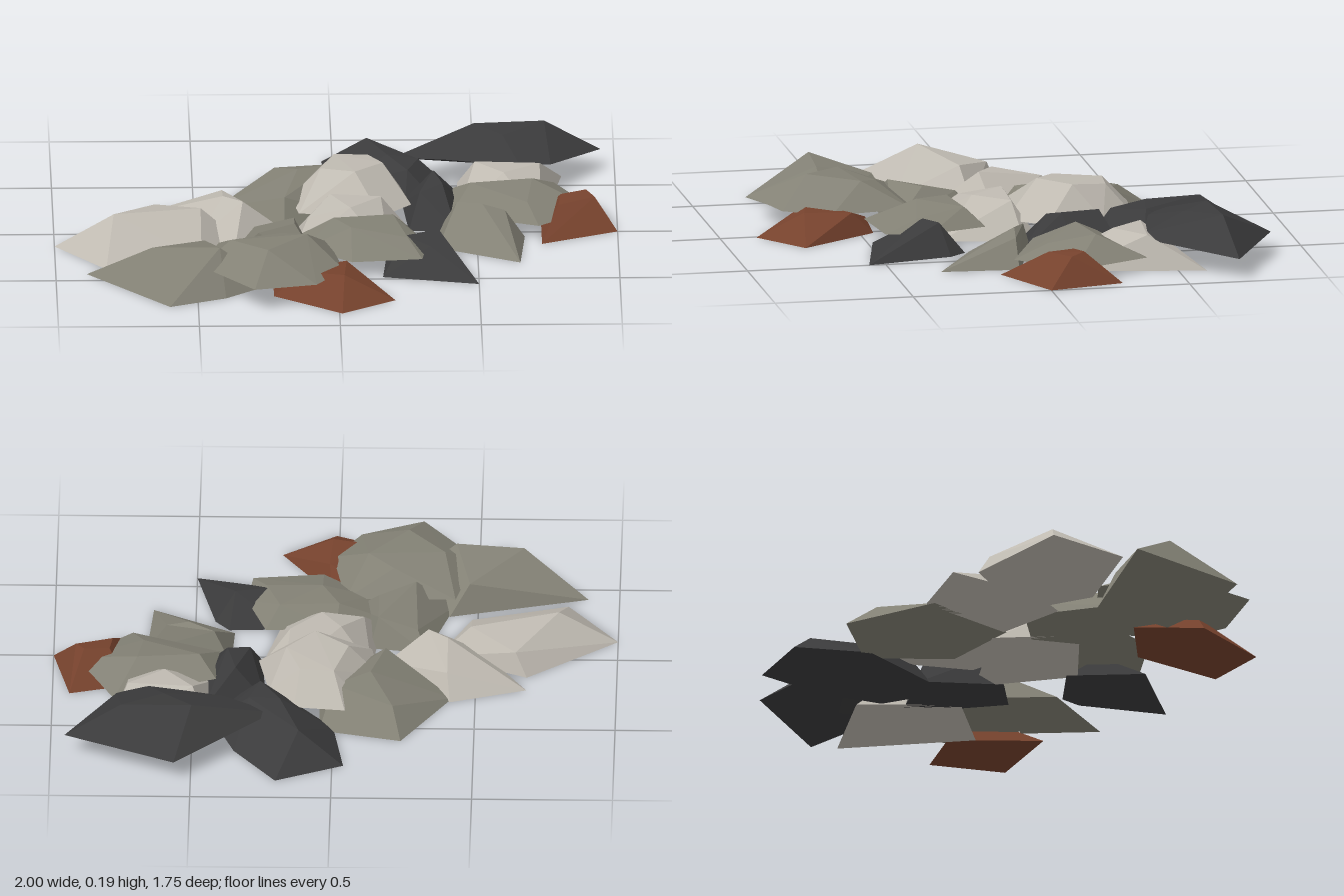
import * as THREE from 'three';
import { ConvexGeometry } from 'three/addons/geometries/ConvexGeometry.js';

const stone = (color) => new THREE.MeshStandardMaterial({ color, flatShading: true });

export function createModel() {
  const pile = new THREE.Group();
  pile.name = 'rubblePile';

  const light = stone(0xbfbab1); light.name = 'pale stone';
  const gray = stone(0x838175); gray.name = 'gray stone';
  const dark = stone(0x3b3b3c); dark.name = 'charcoal stone';
  const brown = stone(0x76422d); brown.name = 'brown stone';

  // One faceted rock: rim points [x, z, optional y] lie at height y, crown points are [x, z, height]
  function rock(name, material, y, rim, crown) {
    const points = [...rim, ...crown].map(([x, z, h = y]) => new THREE.Vector3(x, h, z));
    const mesh = new THREE.Mesh(new ConvexGeometry(points), material);
    mesh.name = name;
    pile.add(mesh);
  }

  // Rocks resting on the ground
  rock('leftSlab', light, 0,
    [[-1, 0.13], [-0.68, -0.13], [-0.36, 0.02], [-0.48, 0.28], [-0.82, 0.38]],
    [[-0.79, 0.13, 0.12], [-0.48, 0.04, 0.11], [-0.64, -0.09, 0.08]]);
  rock('leftInnerRock', light, 0,
    [[-0.68, -0.22], [-0.41, -0.31], [-0.18, -0.03], [-0.36, 0.16], [-0.5, 0.08]],
    [[-0.4, -0.06, 0.12], [-0.33, 0, 0.12], [-0.4, -0.24, 0.08]]);
  rock('backLeftRock', gray, 0,
    [[-0.24, -0.59], [0.05, -0.52], [0.05, -0.2], [-0.18, -0.02], [-0.42, -0.28]],
    [[-0.13, -0.32, 0.13], [-0.21, -0.48, 0.08], [-0.18, -0.1, 0.1], [0, -0.4, 0.12]]);
  rock('backCharcoalRock', dark, 0,
    [[-0.04, -0.77], [0.2, -0.88], [0.35, -0.67], [0.43, -0.45], [0.37, -0.31], [0.25, -0.28], [0, -0.5]],
    [[0.12, -0.71, 0.11], [0.19, -0.5, 0.12], [0.26, -0.36, 0.11], [0.3, -0.48, 0.11]]);
  rock('middleCharcoalRock', dark, 0,
    [[0.24, -0.32], [0.46, -0.37], [0.47, -0.2], [0.43, 0], [0.26, -0.02]],
    [[0.35, -0.3, 0.13], [0.38, -0.16, 0.13], [0.3, -0.12, 0.11]]);
  rock('backRightRock', light, 0,
    [[0.44, -0.54], [0.81, -0.6], [0.73, -0.11], [0.43, -0.17]],
    [[0.5, -0.42, 0.12], [0.73, -0.4, 0.12], [0.6, -0.3, 0.12]]);
  rock('frontRightRock', gray, 0,
    [[0.37, -0.05], [0.67, 0.05], [0.65, 0.33], [0.36, 0.17]],
    [[0.43, -0.01, 0.11], [0.52, 0.04, 0.12], [0.6, 0.05, 0.1]]);
  rock('frontCharcoalRock', dark, 0,
    [[0.16, 0.48], [0.18, 0.2], [0.38, 0.19], [0.43, 0.25], [0.5, 0.56]],
    [[0.36, 0.28, 0.11], [0.24, 0.32, 0.1], [0.33, 0.38, 0.08]]);
  rock('centreRock', light, 0,
    [[-0.13, -0.07], [0.18, -0.11], [0.26, -0.05], [0.19, 0.24], [-0.16, 0.24]],
    [[-0.02, -0.02, 0.14], [0.16, -0.02, 0.13], [0.05, 0.1, 0.13], [-0.1, 0.12, 0.1]]);
  rock('midLeftRock', gray, 0,
    [[-0.32, 0.04], [-0.12, 0.07], [-0.06, 0.36], [-0.42, 0.38]],
    [[-0.15, 0.24, 0.12], [-0.28, 0.34, 0.12], [-0.29, 0.1, 0.06], [-0.15, 0.12, 0.1]]);
  rock('frontLeftSlab', gray, 0,
    [[-0.89, 0.43], [-0.4, 0.3], [-0.23, 0.55], [-0.4, 0.7], [-0.6, 0.79]],
    [[-0.66, 0.55, 0.14], [-0.42, 0.57, 0.145], [-0.47, 0.36, 0.1]]);
  rock('rightBrownRock', brown, 0,
    [[0.94, -0.27], [1, 0], [0.73, 0.13], [0.73, -0.21]],
    [[0.89, -0.14, 0.11], [0.79, -0.03, 0.09], [0.92, -0.09, 0.1], [0.8, -0.12, 0.1]]);
  rock('frontBrownRock', brown, 0,
    [[0.02, 0.45], [0.2, 0.73], [0.01, 0.87], [-0.23, 0.68], [-0.23, 0.43]],
    [[0.02, 0.7, 0.085], [-0.13, 0.66, 0.085], [0.03, 0.53, 0.08]]);

  // Rocks lying on top
  rock('topCentreRock', light, 0.06,
    [[-0.04, -0.48], [0.14, -0.46], [0.23, -0.34], [0.27, -0.13], [0.16, 0], [-0.13, -0.04], [-0.16, -0.22], [-0.09, -0.4]],
    [[0, -0.38, 0.165], [0.12, -0.37, 0.165], [-0.05, -0.21, 0.17], [0.17, -0.24, 0.18], [0.07, -0.13, 0.185]]);
  rock('topCharcoalSlab', dark, 0.07,
    [[0.21, -0.55, 0.09], [0.56, -0.88], [0.95, -0.69], [0.77, -0.44, 0.1], [0.66, -0.4, 0.11], [0.39, -0.47, 0.11], [0.62, -0.6, 0.05]],
    [[0.5, -0.66, 0.18], [0.75, -0.67, 0.185], [0.6, -0.56, 0.17]]);
  rock('topRightRock', gray, 0.05,
    [[0.42, -0.28, 0.07], [0.78, -0.39], [0.92, -0.1], [0.72, 0.08], [0.41, -0.05]],
    [[0.48, -0.19, 0.12], [0.7, -0.22, 0.125], [0.68, -0.05, 0.095]]);
  rock('topMiddleRock', gray, 0.06,
    [[-0.14, 0.2], [0, 0.1], [0.25, 0.09], [0.32, 0.3], [0.3, 0.46], [0.05, 0.49], [-0.12, 0.34]],
    [[-0.01, 0.18, 0.12], [0.2, 0.16, 0.125], [0.05, 0.3, 0.125], [0.25, 0.34, 0.1]]);
  rock('topFrontSlab', gray, 0.07,
    [[-0.42, 0.3], [-0.03, 0.3], [0.02, 0.6], [-0.08, 0.76], [-0.3, 0.84, 0.08], [-0.49, 0.58, 0.08]],
    [[-0.38, 0.5, 0.15], [-0.11, 0.47, 0.16], [-0.25, 0.64, 0.16], [-0.2, 0.4, 0.14]]);

  return pile;
}
